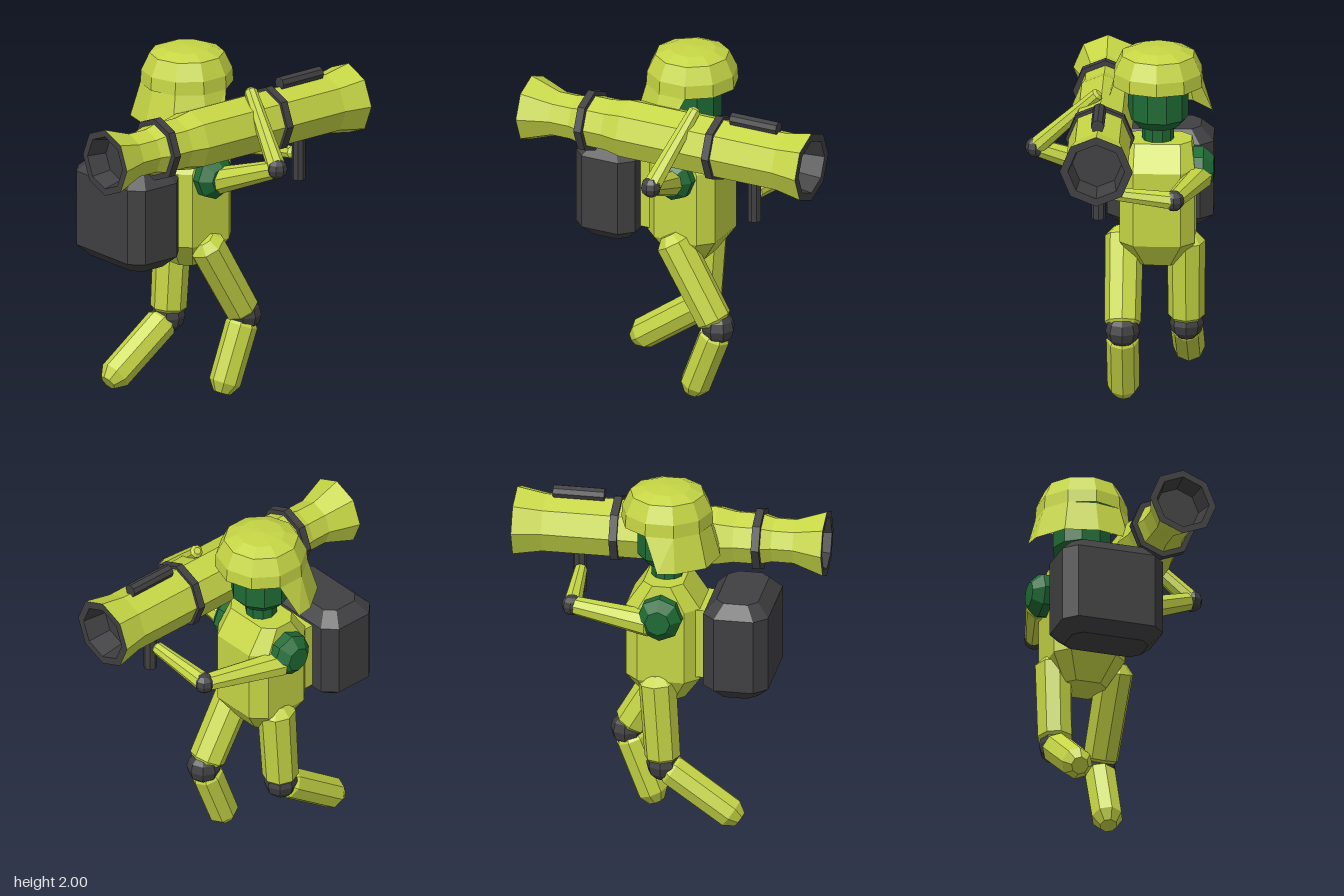
import * as THREE from 'three';

const mat = (color, side = THREE.FrontSide) =>
  new THREE.MeshStandardMaterial({ color, flatShading: true, side });
const LIME = mat(0xc6d645), DARK = mat(0x404042), GREEN = mat(0x1f6b35);
const SHELL = mat(0xc6d645, THREE.DoubleSide);
const CX = -0.03, CZ = -0.205; // body axis

const V = (x, y, z) => new THREE.Vector3(x, y, z);

function lathe(points, sides) {
  return new THREE.LatheGeometry(points.map(p => new THREE.Vector2(p[0], p[1])), sides);
}

// Triangles between stacked rings of points, with optional end caps
function skin(rings, closed) {
  const out = [], put = (...ps) => ps.forEach(p => out.push(p.x, p.y, p.z));
  const n = rings[0].length, last = closed ? n : n - 1;
  for (let k = 0; k < rings.length - 1; k++) {
    const L = rings[k], U = rings[k + 1];
    for (let i = 0; i < last; i++) {
      const j = (i + 1) % n;
      put(L[i], U[i], L[j], L[j], U[i], U[j]);
    }
  }
  if (closed) {
    const B = rings[0], T = rings[rings.length - 1];
    for (let i = 1; i < n - 1; i++) {
      put(B[0], B[i], B[i + 1]);
      put(T[0], T[i + 1], T[i]);
    }
  }
  const g = new THREE.BufferGeometry();
  g.setAttribute('position', new THREE.Float32BufferAttribute(out, 3));
  g.computeVertexNormals();
  return g;
}

// Box with cut corners; each section is [y, half x, half z, corner cut]
function cutBox(sections) {
  return skin(sections.map(([y, a, b, c]) => [
    V(a, y, b - c), V(a - c, y, b), V(c - a, y, b), V(-a, y, b - c),
    V(-a, y, c - b), V(c - a, y, -b), V(a - c, y, -b), V(a, y, c - b)]), true);
}

export function createModel() {
  const model = new THREE.Group();
  const add = (name, geo, material, x = 0, y = 0, z = 0, parent = model) => {
    const m = new THREE.Mesh(geo, material);
    m.name = name;
    m.position.set(x, y, z);
    parent.add(m);
    return m;
  };

  // Eight-sided limb segment from a to b, with bevelled ends
  const limb = (name, a, b, r0, r1, bevel) => {
    const len = a.distanceTo(b);
    const m = add(name, lathe([[0, 0], [r0 * 0.55, 0], [r0, bevel],
      [r1, len - bevel], [r1 * 0.55, len], [0, len]], 8), LIME, a.x, a.y, a.z);
    m.quaternion.setFromUnitVectors(V(0, 1, 0), b.clone().sub(a).normalize());
  };
  const joint = (name, p, r) => add(name, new THREE.SphereGeometry(r, 8, 6), DARK, p.x, p.y, p.z);

  // Torso and backpack
  add('torso', cutBox([[0.77, 0.11, 0.12, 0.05], [0.91, 0.205, 0.205, 0.075],
    [1.33, 0.205, 0.205, 0.075], [1.47, 0.11, 0.185, 0.06]]), LIME, CX, 0, CZ);
  add('backpack', cutBox([[0.855, 0.115, 0.22, 0.05], [0.92, 0.18, 0.29, 0.07],
    [1.345, 0.18, 0.29, 0.07], [1.415, 0.115, 0.22, 0.05]]), DARK, -0.45, 0, CZ);
  add('backpackMount', new THREE.BoxGeometry(0.12, 0.4, 0.3), LIME, -0.25, 1.13, CZ);

  // Head, neck and helmet
  add('neck', new THREE.CylinderGeometry(0.087, 0.087, 0.16, 10), GREEN, CX, 1.48, CZ);
  add('head', lathe([[0, 1.55], [0.12, 1.55], [0.165, 1.6], [0.165, 1.86], [0, 1.9]], 10),
    GREEN, CX, 0, CZ);
  const helmet = new THREE.Group();
  helmet.name = 'helmet';
  helmet.position.set(CX, 0, CZ);
  model.add(helmet);
  add('helmetDome', lathe([[0.255, 1.79], [0.25, 1.865], [0.205, 1.96], [0.13, 1.99], [0, 2]], 10),
    SHELL, 0, 0, 0, helmet).rotation.y = Math.PI / 2;
  // Neck guard flares down around the sides and back
  const ring = (r, y, ends) => [72, 108, 144, 180, 216, 252, 288].map((d, i) => {
    const t = THREE.MathUtils.degToRad(i === 0 ? d + ends : i === 6 ? d - ends : d);
    return V(Math.cos(t) * r * (Math.cos(t) < -0.9 ? 0.95 : 1), y, Math.sin(t) * r);
  });
  add('helmetNeckGuard', skin([ring(0.31, 1.6, 18), ring(0.255, 1.79, 0)], false),
    SHELL, 0, 0, 0, helmet);

  // Shoulder pads
  for (const s of [1, -1]) {
    const pad = add(s > 0 ? 'leftShoulderPad' : 'rightShoulderPad',
      lathe([[0, 0], [0.125, 0], [0.125, 0.09], [0.07, 0.145], [0, 0.145]], 8),
      GREEN, CX, 1.3, CZ + s * 0.16);
    pad.rotation.x = s * Math.PI / 2;
  }

  // Arms: one steadies the tube, the other holds the grip
  const arms = [
    ['left', V(-0.03, 1.27, 0.02), V(0.06, 1.44, 0.46), V(0.155, 1.79, 0.11)],
    ['right', V(0, 1.265, -0.44), V(0.48, 1.285, -0.31), V(0.5, 1.335, 0.07)]];
  for (const [side, shoulder, elbow, hand] of arms) {
    limb(side + 'UpperArm', shoulder, elbow, 0.075, 0.052, 0.03);
    limb(side + 'Forearm', elbow, hand, 0.052, 0.036, 0.015);
    joint(side + 'Elbow', elbow, 0.058);
  }

  // Legs
  const legs = [
    ['left', V(-0.07, 0.94, -0.02), V(0.225, 0.44, -0.02), V(0.065, 0.02, -0.02)],
    ['right', V(0, 0.94, -0.36), V(-0.035, 0.4, -0.36), V(-0.46, 0.1, -0.36)]];
  for (const [side, hip, knee, foot] of legs) {
    limb(side + 'Thigh', hip, knee, 0.105, 0.1, 0.05);
    limb(side + 'Shin', knee, foot, 0.09, 0.088, 0.06);
    joint(side + 'Knee', knee, 0.094);
  }

  // Shoulder launcher lying along x
  const launcher = new THREE.Group();
  launcher.name = 'launcher';
  launcher.position.set(0, 1.58, 0.1);
  launcher.rotation.z = -Math.PI / 2;
  model.add(launcher);
  const part = (name, points, material) => add(name, lathe(points, 8), material, 0, 0, 0, launcher);
  part('launcherTube', [[0.19, -0.86], [0.13, -0.69], [0.13, -0.57], [0.15, -0.5],
    [0.15, -0.36], [0.17, -0.26], [0.17, 0.7], [0.2, 0.86]], LIME);
  part('launcherMuzzle', [[0.2, 0.86], [0.155, 0.86], [0.135, 0.72], [0, 0.72]], DARK);
  part('launcherExhaust', [[0, -0.75], [0.125, -0.75], [0.15, -0.86], [0.19, -0.86]], DARK);
  for (const [name, x, r] of [['rearBand', -0.49, 0.178], ['frontBand', 0.298, 0.188]])
    part(name, [[0.12, x - 0.022], [r, x - 0.022], [r, x + 0.022], [0.12, x + 0.022]], DARK);
  add('sight', new THREE.CylinderGeometry(0.037, 0.037, 0.285, 8), DARK, 0.515, 1.77, 0.1)
    .rotation.z = Math.PI / 2;
  add('grip', new THREE.CylinderGeometry(0.038, 0.038, 0.23, 8), DARK, 0.51, 1.305, 0.1);

  return model;
}
